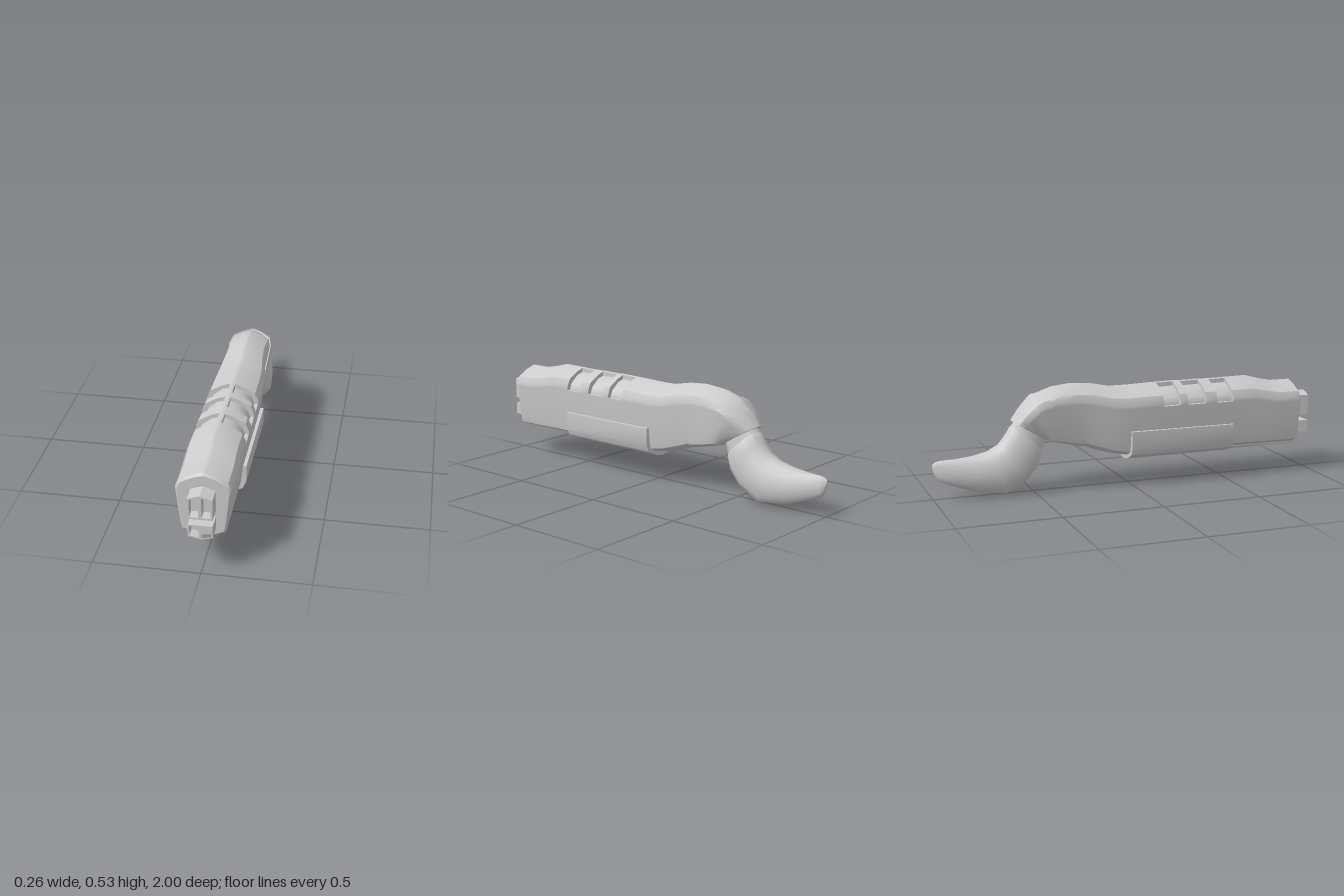
import * as THREE from 'three';
import { toCreasedNormals } from 'three/addons/utils/BufferGeometryUtils.js';

const material = new THREE.MeshStandardMaterial({ color: 0xcccccc });

// Half outlines from top to bottom: [share of half width, share of height]
const BODY = [[0, 1], [0.1, 0.99], [0.1, 0.99], [0.43, 0.95], [0.87, 0.86], [1, 0.75], [0.99, 0.71], [0.99, 0.71],
  [0.92, 0.45], [0.83, 0.18], [0.78, 0.09], [0.43, 0.03], [0, 0]];
// Same outline with the grip recess sunk into the shoulder
const SUNK = BODY.map((p) => p.slice());
[[0.1, 0.93], [0.4, 0.9], [0.75, 0.8], [0.84, 0.72], [0.84, 0.71]].forEach((p, i) => { SUNK[i + 2] = p; });
const HANDLE = [[0, 1], [0.5, 0.95], [0.85, 0.8], [1, 0.5], [0.95, 0.22], [0.6, 0.06], [0, 0]];

// A section is [top z, top y, bottom z, bottom y, half width]
function sectionPoint([tz, ty, bz, by, w], [u, v], grow = 0) {
  const k = v + (v - 0.5) * grow;
  return new THREE.Vector3(u * w * (1 + grow), by + (ty - by) * k, bz + (tz - bz) * k);
}

// Mirror a half ring to a closed one
function mirrorRing(half) {
  const left = half.slice(1, -1).reverse().map((p) => new THREE.Vector3(-p.x, p.y, p.z));
  return [...half, ...left];
}

const ring = (section, outline) => mirrorRing(outline.map((p) => sectionPoint(section, p)));

// Skin over rings running from front to back, capped at both ends
function loft(rings, crease = 0.6) {
  const pos = [];
  const tri = (a, b, c) => {
    const area = b.clone().sub(a).cross(c.clone().sub(a)).length();
    if (area > 1e-9) for (const p of [a, b, c]) pos.push(p.x, p.y, p.z);
  };
  const n = rings[0].length;
  const middle = (r) => r.reduce((s, p) => s.add(p), new THREE.Vector3()).divideScalar(n);
  const first = rings[0], last = rings[rings.length - 1];
  const c0 = middle(first), c1 = middle(last);
  for (let i = 0; i < n; i++) {
    const j = (i + 1) % n;
    for (let k = 0; k + 1 < rings.length; k++) {
      const a = rings[k], b = rings[k + 1];
      tri(a[i], a[j], b[i]);
      tri(a[j], b[j], b[i]);
    }
    tri(c0, first[j], first[i]);
    tri(c1, last[i], last[j]);
  }
  const geo = new THREE.BufferGeometry();
  geo.setAttribute('position', new THREE.Float32BufferAttribute(pos, 3));
  return toCreasedNormals(geo, crease);
}

function add(group, name, geo) {
  const mesh = new THREE.Mesh(geo, material);
  mesh.name = name;
  group.add(mesh);
  return mesh;
}

function toPath(points, Type = THREE.Shape) {
  return new Type(points.map(([x, y]) => new THREE.Vector2(x, y)));
}

function extrude(shape, z0, z1) {
  return new THREE.ExtrudeGeometry(shape, { depth: z1 - z0, bevelEnabled: false }).translate(0, 0, z0);
}

// Rear of the body, bending down towards the handle
const REAR = [
  [-0.3, 0.533, -0.25, 0.215, 0.103],
  [-0.4, 0.522, -0.33, 0.232, 0.106],
  [-0.5, 0.488, -0.405, 0.25, 0.109],
  [-0.56, 0.425, -0.42, 0.253, 0.094],
  [-0.605, 0.365, -0.43, 0.258, 0.074],
];

function bodyGeometry() {
  const straight = (z, top, bottom = 0.147, w = 0.127) => [z, top, z, bottom, w];
  const rings = [
    straight(0.92, 0.468, 0.157, 0.117), straight(0.91, 0.48), straight(0.8, 0.48),
    straight(0.74, 0.492), straight(0.65, 0.515),
  ].map((s) => ring(s, BODY));
  // Three rows of grip recesses
  for (const [z0, z1] of [[0.53, 0.44], [0.38, 0.28], [0.24, 0.15]]) {
    const a = straight(z0, 0.513), b = straight(z1, 0.511);
    rings.push(ring(a, BODY), ring(a, SUNK), ring(b, SUNK), ring(b, BODY));
  }
  const back = [
    straight(-0.02, 0.506, 0.147, 0.125),
    [-0.1, 0.506, -0.1, 0.163, 0.121],
    [-0.2, 0.526, -0.17, 0.185, 0.11],
    ...REAR,
  ];
  return loft([...rings, ...back.map((s) => ring(s, BODY))]);
}

// Raised cuff: follows the rear body, with a front edge that slants up and back
function cuffGeometry() {
  const start = [2, 1.95, 1.95, 1.8, 1.5, 1.1, 0.95, 0.95, 0, 0, 0, 0, 0];
  const at = (s, p, grow) => {
    const i = Math.min(Math.floor(s), REAR.length - 2), t = s - i;
    return sectionPoint(REAR[i], p, grow).lerp(sectionPoint(REAR[i + 1], p, grow), t);
  };
  const end = REAR.length - 1, steps = 8;
  const rings = [mirrorRing(BODY.map((p, i) => at(start[i], p, -0.03)))];
  for (let k = 0; k <= steps; k++) {
    rings.push(mirrorRing(BODY.map((p, i) => at(start[i] + (end - start[i]) * k / steps, p, 0.045))));
  }
  rings.push(ring(REAR[end], BODY));
  return loft(rings);
}

export function createModel() {
  const model = new THREE.Group();
  model.name = 'handheldDevice';

  add(model, 'body', bodyGeometry());
  add(model, 'rearCuff', cuffGeometry());

  // Tray wrapped round the underside
  const half = [[0.13, 0.288], [0.13, 0.205], [0.113, 0.166], [0.055, 0.138]];
  const tray = [...half, [0, 0.128], ...half.map(([x, y]) => [-x, y]).reverse()];
  add(model, 'undersideTray', toCreasedNormals(extrude(toPath(tray), -0.02, 0.535), 0.6));

  // Front emitters: frames with two windows each
  const emitters = [
    ['upperEmitter', 0.293, 0.397, 0.416, 0.302, 0.391, 0.404],
    ['lowerEmitter', 0.262, 0.201, 0.188, 0.255, 0.206, 0.196],
  ];
  for (const [name, flat, edge, peak, inFlat, inEdge, inPeak] of emitters) {
    const outline = [[-0.056, flat], [0.056, flat], [0.056, edge], [0, peak], [-0.056, edge]];
    const frame = toPath(outline);
    for (const s of [-1, 1]) {
      frame.holes.push(toPath([[s * 0.007, inFlat], [s * 0.048, inFlat], [s * 0.048, inEdge], [s * 0.007, inPeak]], THREE.Path));
    }
    const group = new THREE.Group();
    group.name = name;
    add(group, 'frame', extrude(frame, 0.95, 1));
    add(group, 'base', extrude(toPath(outline), 0.9, 0.95));
    model.add(group);
  }

  // Neck and curved tail handle
  add(model, 'neck', loft([
    [-0.56, 0.4, -0.43, 0.275, 0.062],
    [-0.62, 0.32, -0.46, 0.19, 0.066],
  ].map((s) => ring(s, HANDLE))));
  add(model, 'handle', loft([
    [-0.6, 0.342, -0.458, 0.215, 0.066],
    [-0.61, 0.337, -0.453, 0.2, 0.075],
    [-0.635, 0.297, -0.475, 0.135, 0.082],
    [-0.67, 0.252, -0.53, 0.065, 0.085],
    [-0.725, 0.222, -0.64, 0.003, 0.083],
    [-0.8, 0.205, -0.79, 0.022, 0.068],
    [-0.89, 0.196, -0.91, 0.065, 0.044],
    [-0.96, 0.194, -0.975, 0.095, 0.024],
    [-0.985, 0.188, -0.992, 0.13, 0.012],
    [-0.998, 0.178, -1, 0.165, 0.004],
  ].map((s) => ring(s, HANDLE)), 0.8));

  return model;
}
